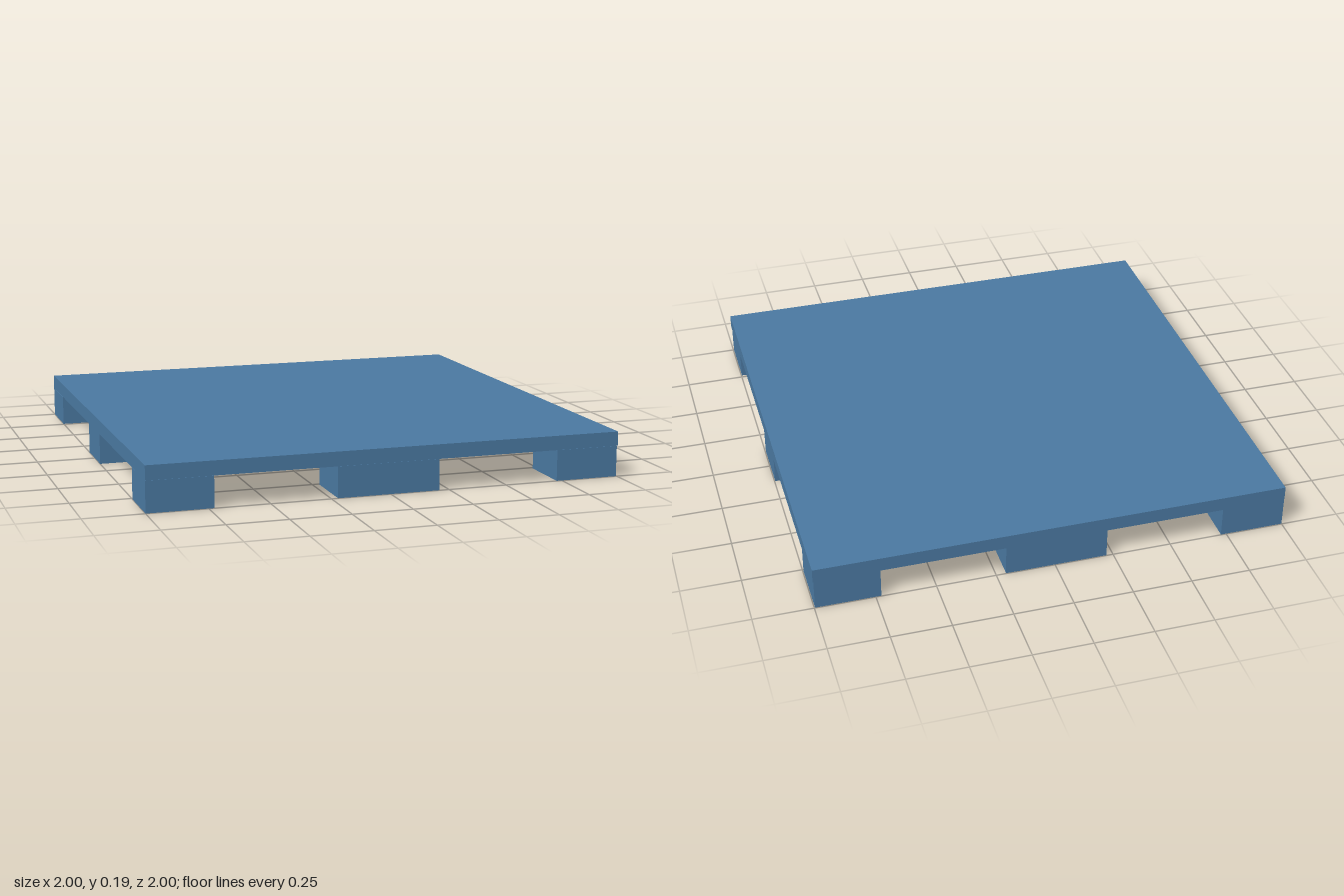
import * as THREE from 'three';

export function createModel() {
  const model = new THREE.Group();
  model.name = 'pallet';
  const blue = new THREE.MeshStandardMaterial({ color: 0x4a78a0 });
  blue.name = 'steel blue';

  // Adds a box spanning the given min/max on each axis
  function addBox(name, [x0, x1], [y0, y1], [z0, z1]) {
    const mesh = new THREE.Mesh(new THREE.BoxGeometry(x1 - x0, y1 - y0, z1 - z0), blue);
    mesh.position.set((x0 + x1) / 2, (y0 + y1) / 2, (z0 + z1) / 2);
    mesh.name = name;
    model.add(mesh);
  }

  // Flat deck
  addBox('deck', [-1, 1], [0.13, 0.19], [-1, 1]);

  // Three rows of three feet, the middle column wider
  const columns = { Right: [-1, -0.727], Middle: [-0.222, 0.208], Left: [0.727, 0.997] };
  const rows = { front: [0.763, 0.998], centre: [-0.117, 0.117], back: [-0.998, -0.76] };
  for (const [row, z] of Object.entries(rows)) {
    for (const [column, x] of Object.entries(columns)) {
      addBox(`${row}${column}Foot`, x, [0, 0.129], z);
    }
  }
  return model;
}
